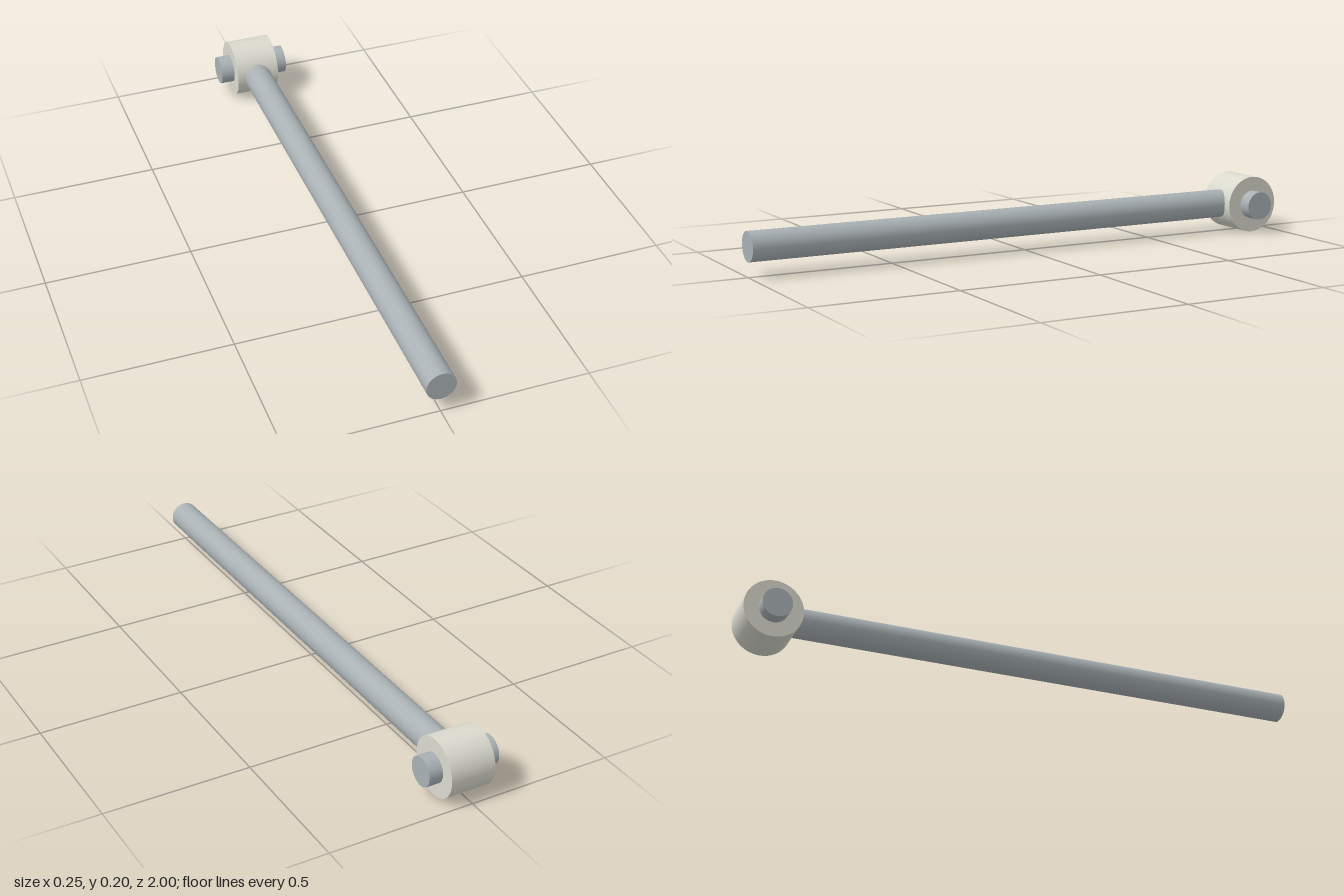
import * as THREE from 'three';

const AXIS_Y = 0.1;
const HUB_Z = -0.9;

export function createModel() {
  const group = new THREE.Group();
  const steel = new THREE.MeshStandardMaterial({ color: 0xa9b1b4 });
  const ivory = new THREE.MeshStandardMaterial({ color: 0xd9d9ce });

  // Solid round bar lying along x or z
  function bar(name, radius, length, axis, z, material) {
    const geometry = new THREE.CylinderGeometry(radius, radius, length, 64);
    if (axis === 'x') geometry.rotateZ(Math.PI / 2);
    else geometry.rotateX(Math.PI / 2);
    const mesh = new THREE.Mesh(geometry, material);
    mesh.name = name;
    mesh.position.set(0, AXIS_Y, z);
    group.add(mesh);
  }

  // Long rod, running from the front end into the hub
  const rodBack = -0.85;
  bar('rod', 0.05, 1 - rodBack, 'z', (1 + rodBack) / 2, steel);

  // Cross hub, bored for the pin
  const outline = new THREE.Shape().absarc(0, 0, 0.1, 0, Math.PI * 2);
  outline.holes.push(new THREE.Path().absarc(0, 0, 0.05, 0, Math.PI * 2, true));
  const hubGeometry = new THREE.ExtrudeGeometry(outline, {
    depth: 0.156, bevelEnabled: false, curveSegments: 64,
  });
  hubGeometry.translate(0, 0, -0.078).rotateY(Math.PI / 2);
  const hub = new THREE.Mesh(hubGeometry, ivory);
  hub.name = 'hub';
  hub.position.set(0, AXIS_Y, HUB_Z);
  // Radial normals keep the round walls smooth
  const p = hubGeometry.attributes.position;
  const n = hubGeometry.attributes.normal;
  for (let i = 0; i < p.count; i++) {
    if (Math.abs(n.getX(i)) > 0.5) continue;
    const r = Math.hypot(p.getY(i), p.getZ(i));
    const s = r > 0.075 ? 1 / r : -1 / r;
    n.setXYZ(i, 0, p.getY(i) * s, p.getZ(i) * s);
  }
  group.add(hub);

  // Pin through the hub, showing on both sides
  bar('pin', 0.05, 0.252, 'x', HUB_Z, steel);

  return group;
}
